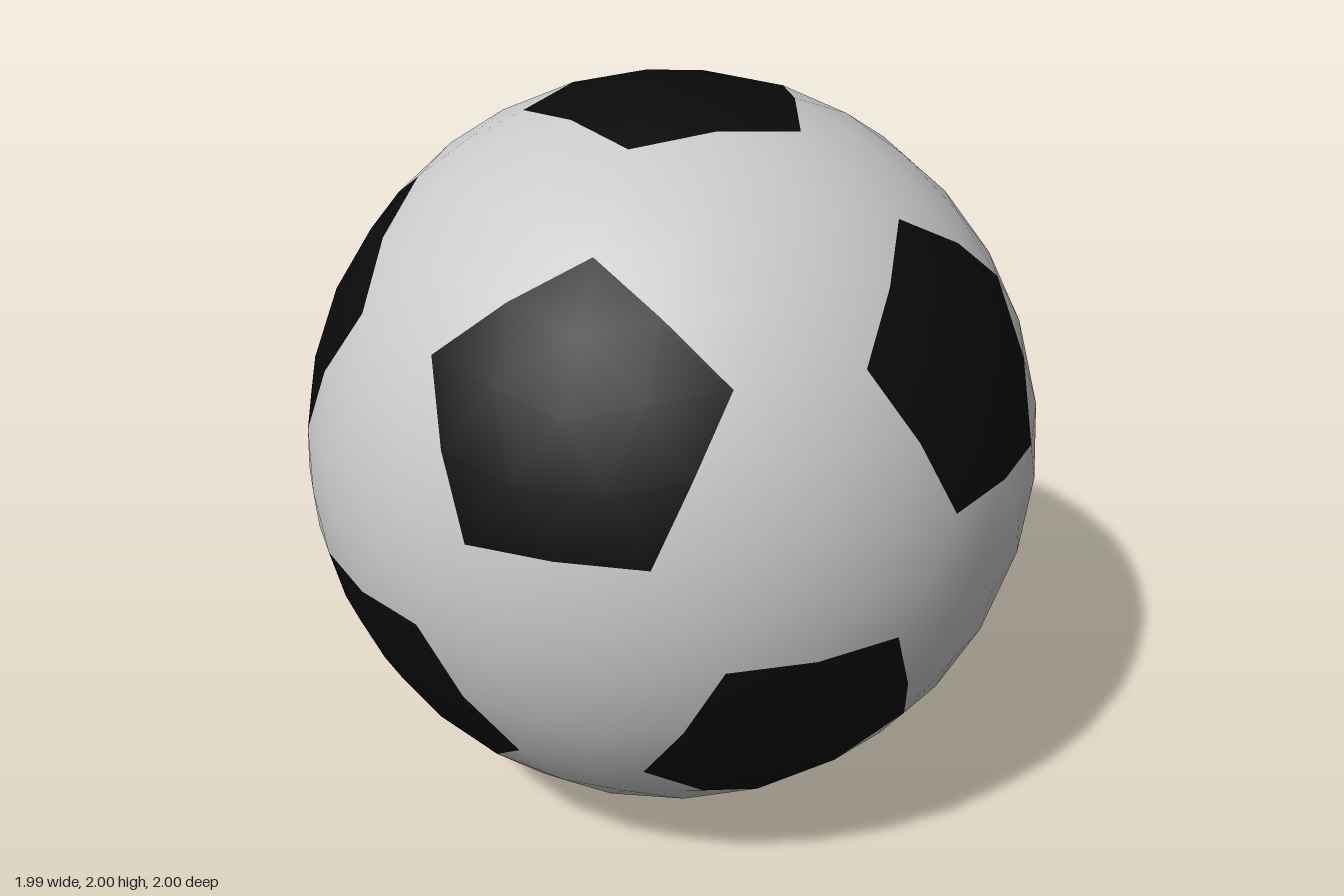
import * as THREE from 'three';

const PATCH_ANGLE = THREE.MathUtils.degToRad(22.3); // centre to corner of a pentagon
const STEPS = 2; // subdivisions of each wedge

// Twelve pentagon centres: two poles and two staggered rings of five
function patchCentres() {
  const centres = [new THREE.Vector3(0, 1, 0), new THREE.Vector3(0, -1, 0)];
  const y = 1 / Math.sqrt(5), r = 2 / Math.sqrt(5);
  for (let k = 0; k < 5; k++) {
    const a = k * Math.PI * 0.4, b = a + Math.PI * 0.2;
    centres.push(new THREE.Vector3(r * Math.cos(a), y, r * Math.sin(a)));
    centres.push(new THREE.Vector3(r * Math.cos(b), -y, r * Math.sin(b)));
  }
  return centres;
}

const adjacent = (a, b) => a !== b && a.dot(b) > 0.4;

// Corner of the pentagon around "from" that points at its neighbour "to"
function patchCorner(from, to) {
  const tangent = to.clone().addScaledVector(from, -from.dot(to)).normalize();
  return from.clone().multiplyScalar(Math.cos(PATCH_ANGLE))
    .addScaledVector(tangent, Math.sin(PATCH_ANGLE));
}

// Adds a curved polygon to the list as subdivided wedges around its centre
function addPanel(points, centre, corners) {
  const e1 = corners[0].clone().addScaledVector(centre, -centre.dot(corners[0])).normalize();
  const e2 = centre.clone().cross(e1);
  const angle = (p) => Math.atan2(p.dot(e2), p.dot(e1));
  const ring = [...corners].sort((p, q) => angle(p) - angle(q));
  ring.forEach((p, i) => {
    const q = ring[(i + 1) % ring.length];
    const at = (u, v) => centre.clone().multiplyScalar(STEPS - u - v)
      .addScaledVector(p, u).addScaledVector(q, v).normalize();
    for (let u = 0; u < STEPS; u++) {
      for (let v = 0; v < STEPS - u; v++) {
        points.push(at(u, v), at(u + 1, v), at(u, v + 1));
        if (u + v < STEPS - 1) points.push(at(u + 1, v), at(u + 1, v + 1), at(u, v + 1));
      }
    }
  });
}

// Points lie on the unit sphere, so each position is also its smooth normal
function panelMesh(name, points, material) {
  const geometry = new THREE.BufferGeometry().setFromPoints(points);
  geometry.setAttribute('normal', geometry.getAttribute('position').clone());
  const mesh = new THREE.Mesh(geometry, material);
  mesh.name = name;
  mesh.position.y = 1;
  return mesh;
}

export function createModel() {
  const white = new THREE.MeshStandardMaterial({ color: 0xcacaca });
  white.name = 'white leather';
  const black = new THREE.MeshStandardMaterial({ color: 0x0a0a0a });
  black.name = 'black leather';

  const centres = patchCentres();
  const pentagons = [], hexagons = [];

  // Black pentagons
  for (const c of centres) {
    const corners = centres.filter((n) => adjacent(c, n)).map((n) => patchCorner(c, n));
    addPanel(pentagons, c, corners);
  }

  // White hexagons between every three neighbouring pentagons
  for (let i = 0; i < 12; i++) for (let j = i + 1; j < 12; j++) for (let k = j + 1; k < 12; k++) {
    const [a, b, c] = [centres[i], centres[j], centres[k]];
    if (!adjacent(a, b) || !adjacent(b, c) || !adjacent(a, c)) continue;
    const middle = a.clone().add(b).add(c).normalize();
    const pairs = [[a, b], [b, a], [b, c], [c, b], [c, a], [a, c]];
    addPanel(hexagons, middle, pairs.map(([p, q]) => patchCorner(p, q)));
  }

  const ball = new THREE.Group();
  ball.name = 'ball';
  ball.add(panelMesh('blackPentagons', pentagons, black));
  ball.add(panelMesh('whiteHexagons', hexagons, white));
  return ball;
}
